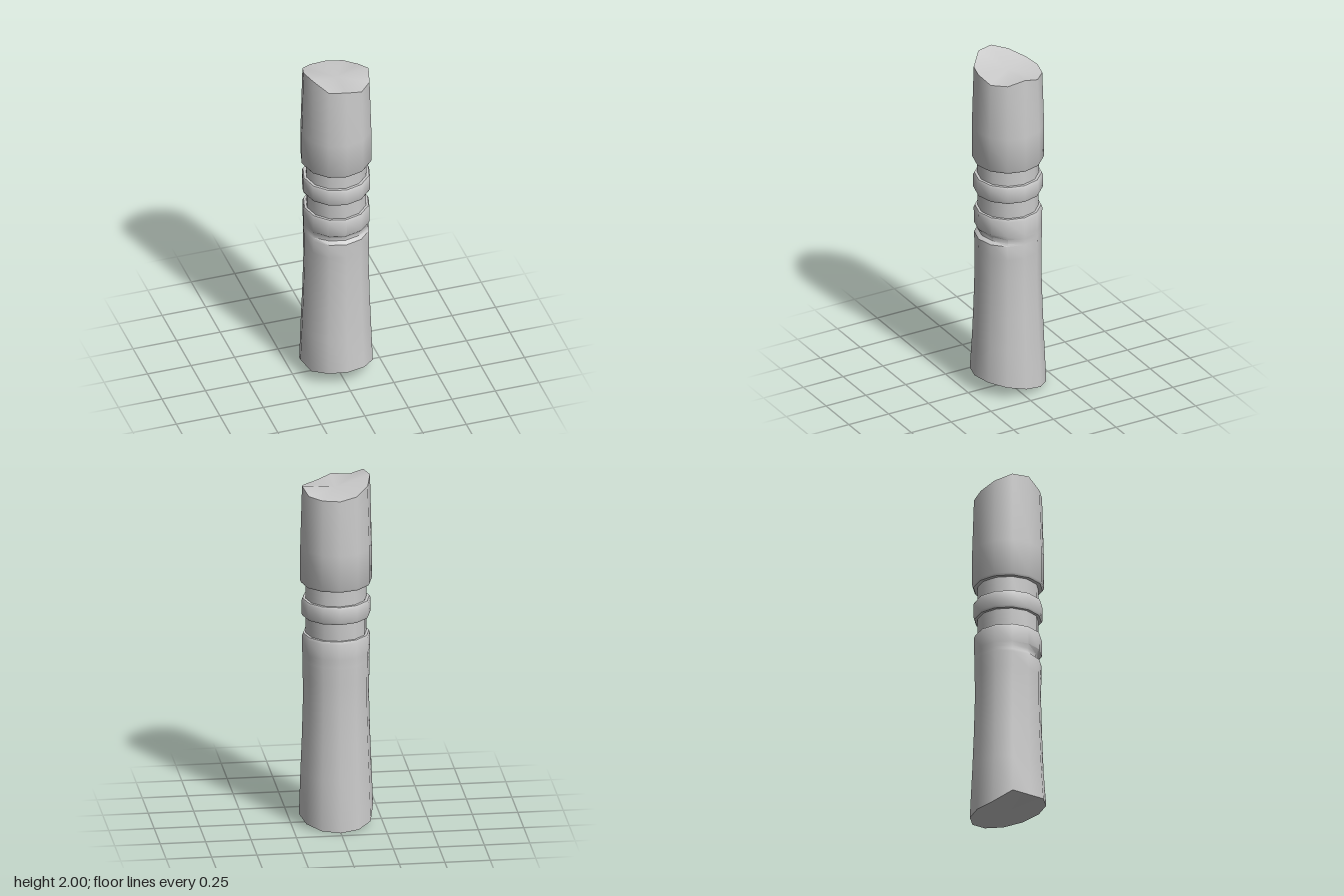
import * as THREE from 'three';
import { toCreasedNormals } from 'three/addons/utils/BufferGeometryUtils.js';

const SIDES = 12;

export function createModel() {
  const group = new THREE.Group();
  const material = new THREE.MeshStandardMaterial({ color: 0xcccccc });

  // Twelve-sided turned part; rule(v, side, row) may shift each vertex.
  function turned(name, profile, rule) {
    const geo = new THREE.LatheGeometry(profile.map(([r, y]) => new THREE.Vector2(r, y)), SIDES);
    if (rule) {
      const pos = geo.attributes.position;
      const v = new THREE.Vector3();
      for (let i = 0; i < pos.count; i++) {
        v.fromBufferAttribute(pos, i);
        rule(v, Math.floor(i / profile.length) % SIDES, i % profile.length);
        pos.setXYZ(i, v.x, v.y, v.z);
      }
    }
    geo.deleteAttribute('normal');
    geo.deleteAttribute('uv');
    const mesh = new THREE.Mesh(toCreasedNormals(geo, 0.8), material);
    mesh.name = name;
    group.add(mesh);
  }

  // Flared lower tube with slanted foot and a shallow front notch
  const notchDepth = [0.022, 0.02, 0.009];
  turned('lowerTube', [
    [0, 0.05], [0.204, 0.05], [0.196, 0.3], [0.188, 0.5], [0.182, 0.72], [0.183, 0.85],
    [0.185, 0.935], [0.185, 0.95], [0.185, 0.972], [0.186, 0.995],
    [0.187, 1.085], [0.181, 1.1], [0.16, 1.1],
  ], (v, side, row) => {
    if (row === 1) {
      v.z *= 1.03;
      v.y = 0.052 + v.z * 0.23;
      if (side === 9) v.y = 0.09; // raised corner on the right
    }
    if (row === 7 || row === 8) {
      const depth = notchDepth[Math.min(side, SIDES - side)] ?? 0;
      const r = Math.hypot(v.x, v.z);
      v.x *= (r - depth) / r;
      v.z *= (r - depth) / r;
    }
  });

  // Narrow core seen between the thicker parts
  turned('neck', [[0.167, 1.09], [0.169, 1.4]]);

  // Raised ring around the neck
  turned('ringBand', [
    [0.16, 1.2], [0.184, 1.2], [0.19, 1.212], [0.19, 1.288], [0.184, 1.3], [0.16, 1.3],
  ]);

  // Upper tube with a broken, uneven rim
  const rim = [1.95, 1.92, 1.925, 1.95, 1.92, 1.915, 1.915, 1.93, 1.965, 2.0, 2.0, 1.95];
  turned('upperTube', [
    [0.16, 1.39], [0.19, 1.39], [0.197, 1.402], [0.197, 1.6], [0.187, 1.95], [0, 1.935],
  ], (v, side, row) => {
    if (row === 4) v.y = rim[side];
  });

  return group;
}
